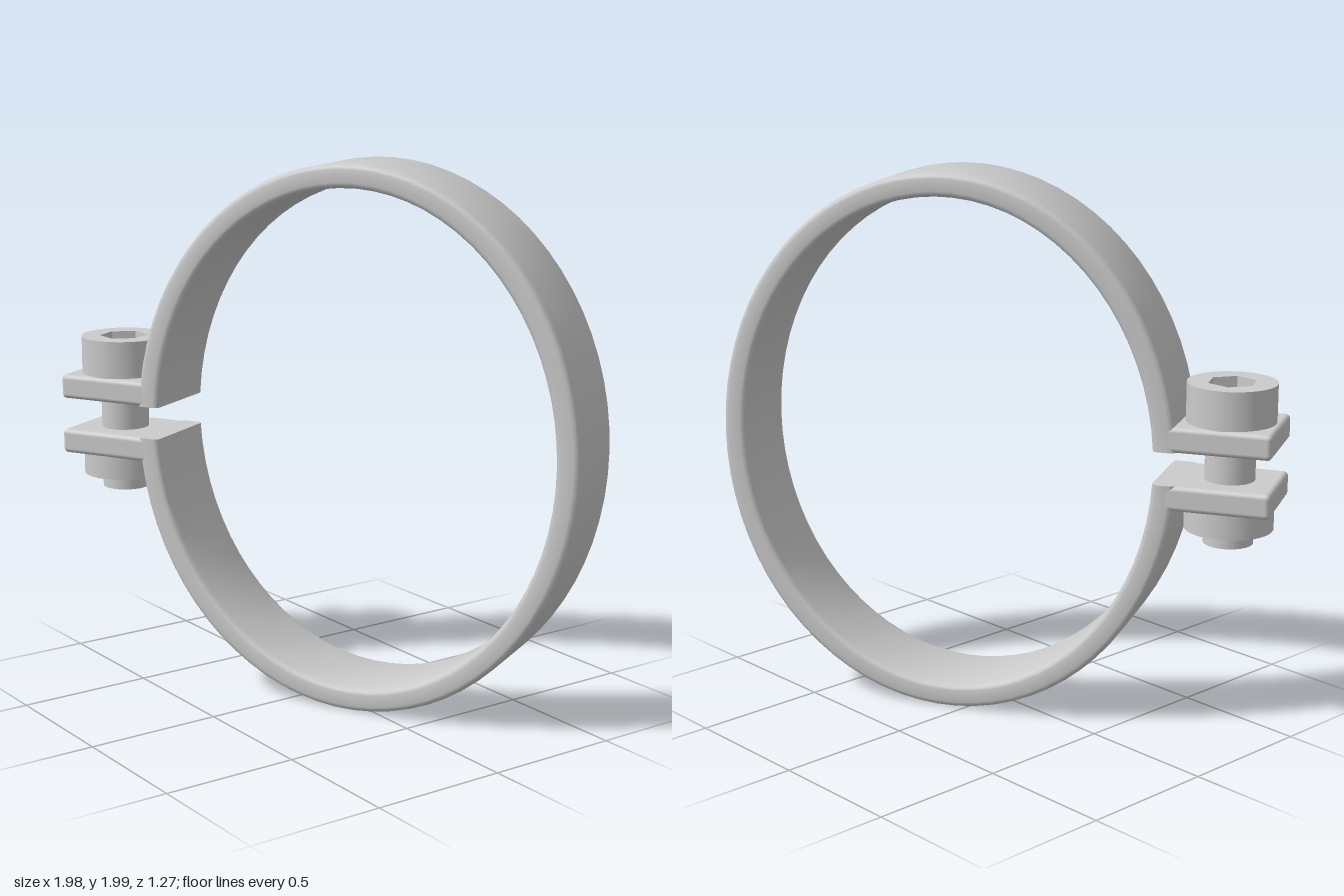
import * as THREE from 'three';
import { toCreasedNormals } from 'three/addons/utils/BufferGeometryUtils.js';
import { RoundedBoxGeometry } from 'three/addons/geometries/RoundedBoxGeometry.js';

const WIDTH = 0.34;      // band width
const THICK = 0.085;     // band thickness
const HALF_GAP = 0.06;   // half of the opening between the jaws
const RX = 0.869, RY = 0.997, RING_X = 0.167;
const SCREW_X = -0.859;

const material = new THREE.MeshStandardMaterial({ color: 0xcccccc });

function add(parent, name, geometry, x = 0, y = 0, z = 0) {
  const mesh = new THREE.Mesh(geometry, material);
  mesh.name = name;
  mesh.position.set(x, y, z);
  parent.add(mesh);
  return mesh;
}

// Rounded rectangle: [radial offset, sideways position], counter-clockwise
function bandSection(r = 0.02, steps = 3) {
  const points = [];
  const corners = [[1, 1], [-1, 1], [-1, -1], [1, -1]];
  corners.forEach(([su, sv], k) => {
    for (let i = 0; i <= steps; i++) {
      const a = (k + i / steps) * Math.PI / 2;
      points.push([
        -THICK / 2 + su * (THICK / 2 - r) + r * Math.cos(a),
        sv * (WIDTH / 2 - r) + r * Math.sin(a),
      ]);
    }
  });
  return points;
}

// Open oval band, both ends cut level at the gap
function bandGeometry(segments = 72) {
  const section = bandSection(), n = section.length;
  const positions = [], index = [];
  for (let i = 0; i <= segments; i++) {
    for (const [o, v] of section) {
      const end = Math.PI - Math.asin(HALF_GAP / (RY + o));
      const t = -end + 2 * end * i / segments;
      positions.push((RX + o) * Math.cos(t), (RY + o) * Math.sin(t), v);
    }
  }
  for (let i = 0; i < segments; i++) {
    for (let j = 0; j < n; j++) {
      const k = (j + 1) % n;
      const a = i * n + j, b = a + n, c = (i + 1) * n + k, d = i * n + k;
      index.push(a, b, c, a, c, d);
    }
  }
  const last = segments * n;
  for (let j = 1; j < n - 1; j++) {
    index.push(0, j, j + 1, last, last + j + 1, last + j);
  }
  const geometry = new THREE.BufferGeometry();
  geometry.setAttribute('position', new THREE.Float32BufferAttribute(positions, 3));
  geometry.setIndex(index);
  return toCreasedNormals(geometry, 0.7);
}

// Round screw head with a hexagonal socket
function headGeometry(radius, height) {
  const shape = new THREE.Shape().absarc(0, 0, radius, 0, Math.PI * 2, false);
  const hex = new THREE.Path();
  for (let i = 0; i <= 6; i++) {
    const a = -i * Math.PI / 3 - 0.49;
    const x = 0.09 * Math.cos(a), y = 0.09 * Math.sin(a);
    if (i === 0) hex.moveTo(x, y); else hex.lineTo(x, y);
  }
  shape.holes.push(hex);
  const geometry = new THREE.ExtrudeGeometry(shape, { depth: height, bevelEnabled: false, curveSegments: 40 });
  geometry.rotateX(-Math.PI / 2);
  return toCreasedNormals(geometry, 0.6);
}

export function createModel() {
  const model = new THREE.Group();
  model.name = 'bandClamp';

  const clamp = new THREE.Group();
  clamp.name = 'clamp';
  clamp.position.y = 0.998;
  clamp.rotation.y = 0.492;
  model.add(clamp);

  add(clamp, 'band', bandGeometry(), RING_X);

  // Upper and lower jaws
  for (const side of [1, -1]) {
    const length = 0.39, height = 0.092;
    add(clamp, side > 0 ? 'upperJaw' : 'lowerJaw',
      new RoundedBoxGeometry(length, height, WIDTH, 3, 0.018),
      -1.038 + length / 2, side * (HALF_GAP + height / 2));
  }

  // Screw through the jaws, with its nut
  const screw = new THREE.Group();
  screw.name = 'screw';
  screw.position.x = SCREW_X;
  clamp.add(screw);
  const cylinder = (name, radius, bottom, top) =>
    add(screw, name, new THREE.CylinderGeometry(radius, radius, top - bottom, 40), 0, (top + bottom) / 2);
  cylinder('shank', 0.09, -0.295, 0.16);
  cylinder('nut', 0.16, -0.24, -0.15);
  cylinder('socketFloor', 0.12, 0.15, 0.19);
  add(screw, 'screwHead', headGeometry(0.16, 0.142), 0, 0.15);

  return model;
}
